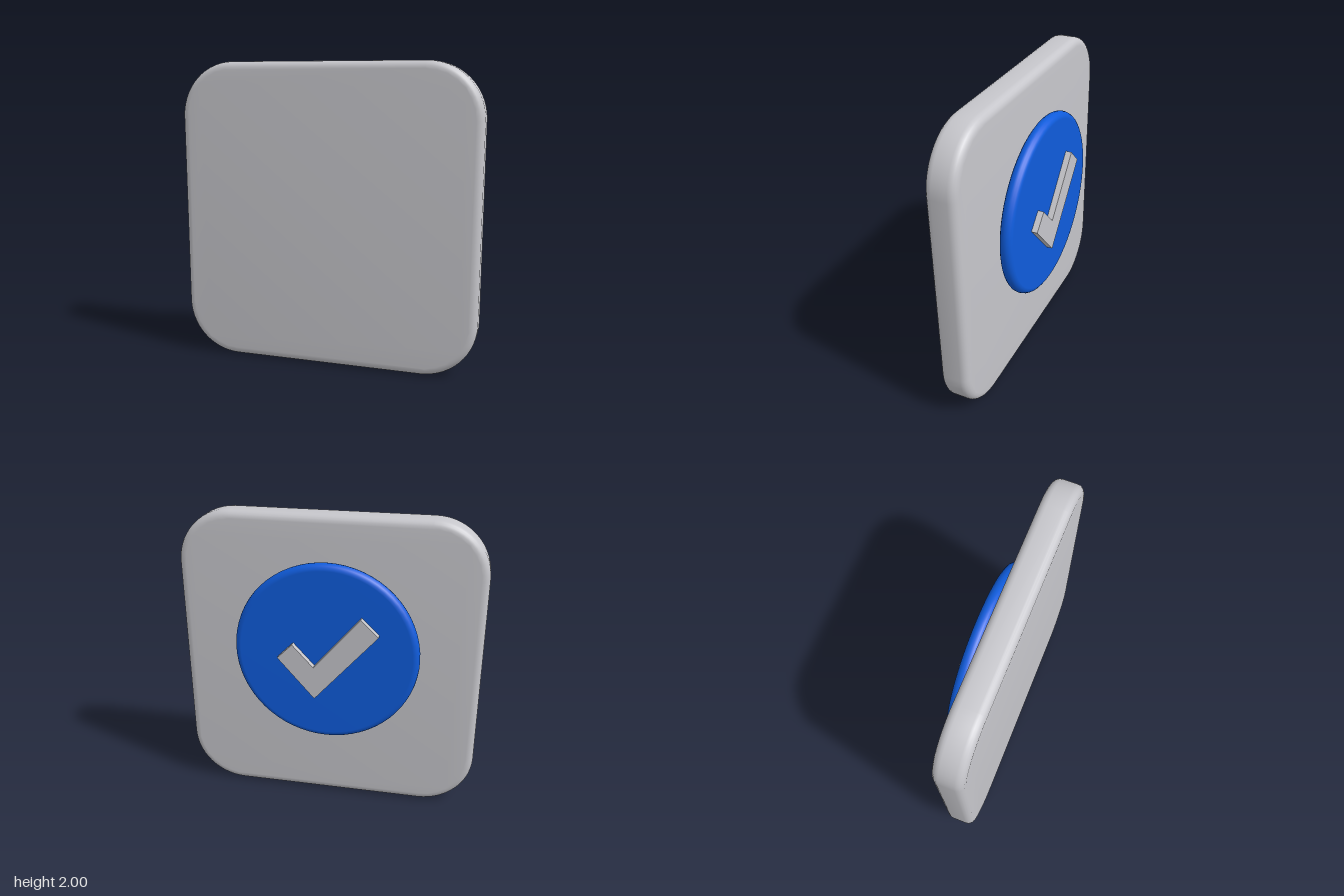
import * as THREE from 'three';
import { toCreasedNormals } from 'three/addons/utils/BufferGeometryUtils.js';

const grey = new THREE.MeshStandardMaterial({ color: 0xc6c6cb });
grey.name = 'light grey';
const blue = new THREE.MeshStandardMaterial({ color: 0x0f5cdc });
blue.name = 'blue';

// Square outline with rounded corners, centred on the origin
function roundedSquare(half, radius) {
  const s = new THREE.Shape();
  const c = half - radius;
  [[c, c], [-c, c], [-c, -c], [c, -c]].forEach(([x, y], i) =>
    s.absarc(x, y, radius, i * Math.PI / 2, (i + 1) * Math.PI / 2, false));
  return s;
}

function addPart(group, name, geometry, material) {
  const mesh = new THREE.Mesh(geometry, material);
  mesh.name = name;
  group.add(mesh);
  return mesh;
}

export function createModel() {
  const group = new THREE.Group();
  group.name = 'checkBadge';

  // Thick plate with rounded corners and softened edges
  const bevel = 0.05, depth = 0.195;
  const plate = new THREE.ExtrudeGeometry(roundedSquare(1 - bevel, 0.31), {
    depth: depth - 2 * bevel, bevelEnabled: true, bevelThickness: bevel,
    bevelSize: bevel, bevelSegments: 5, curveSegments: 7,
  });
  plate.translate(0, 1, -0.02 + bevel);
  addPart(group, 'plate', toCreasedNormals(plate, 0.6), grey);

  // Round disc floating behind the plate, with a rounded rim
  const radius = 0.61, rim = 0.0425;
  const profile = [new THREE.Vector2(0, -rim)];
  for (let i = 0; i <= 8; i++) {
    const a = -Math.PI / 2 + i * Math.PI / 8;
    profile.push(new THREE.Vector2(radius - rim + rim * Math.cos(a), rim * Math.sin(a)));
  }
  profile.push(new THREE.Vector2(0, rim));
  const disc = new THREE.LatheGeometry(profile, 64);
  disc.rotateX(Math.PI / 2);
  disc.translate(0, 1.115, -0.0925);
  addPart(group, 'disc', disc, blue);

  // Raised tick on the back of the disc
  const tick = new THREE.Shape([
    [0.065, 0.815], [0.31, 1.09], [0.21, 1.19],
    [0.07, 1.04], [-0.235, 1.395], [-0.35, 1.285],
  ].map(([x, y]) => new THREE.Vector2(x, y)));
  const tickGeometry = new THREE.ExtrudeGeometry(tick, { depth: 0.045, bevelEnabled: false });
  tickGeometry.translate(0, 0, -0.175);
  addPart(group, 'tick', tickGeometry, grey);

  return group;
}
